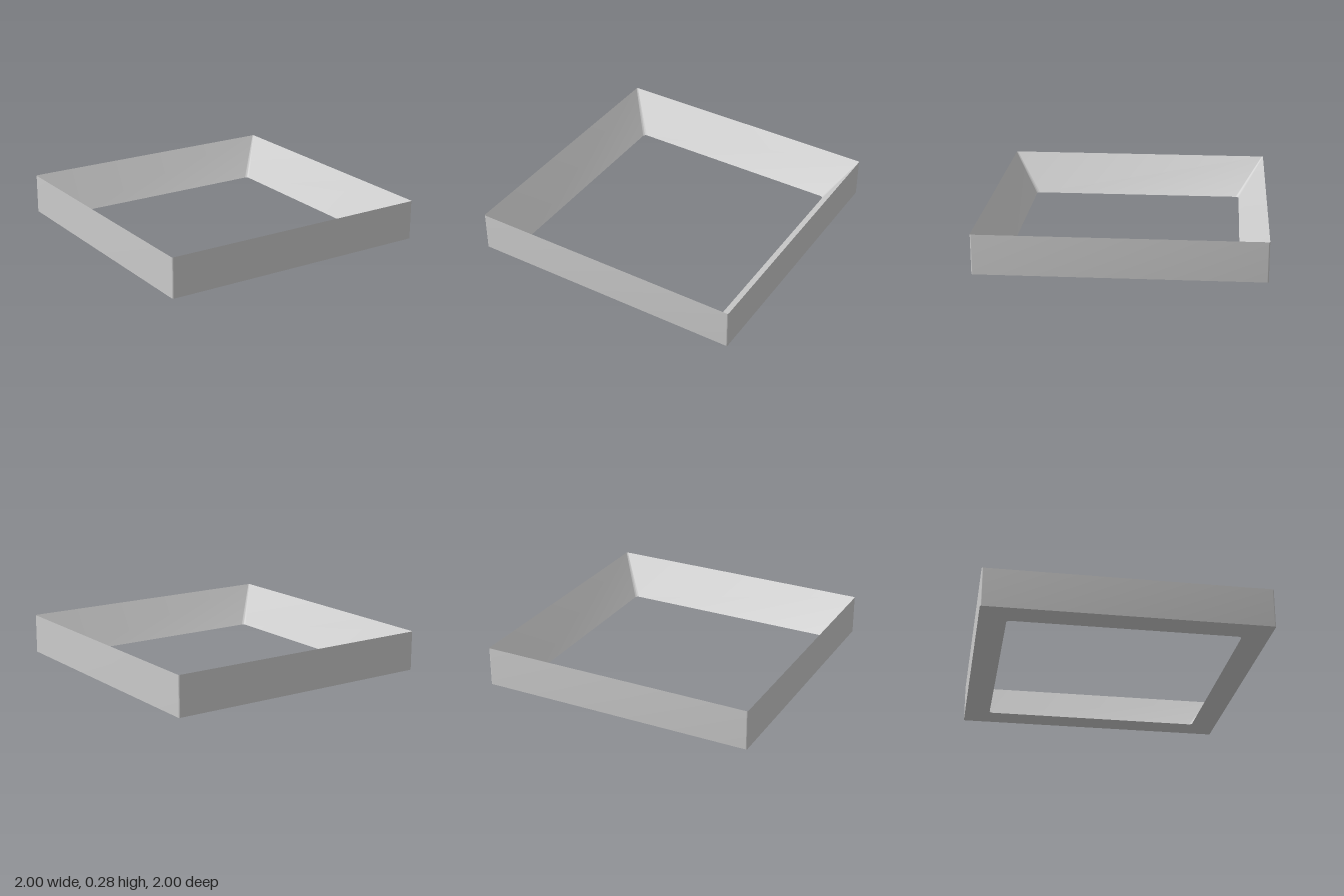
import * as THREE from 'three';
import { toCreasedNormals } from 'three/addons/utils/BufferGeometryUtils.js';

const OUTER = 1, INNER = 0.81, HEIGHT = 0.285;
const STEPS = 5; // segments per rounded corner

// Square outline with rounded corners, as [x, z] points
function roundedSquare(half, radius) {
  const points = [];
  for (let corner = 0; corner < 4; corner++) {
    const start = corner * Math.PI / 2;
    const mid = start + Math.PI / 4;
    const reach = (half - radius) * Math.SQRT2;
    for (let i = 0; i <= STEPS; i++) {
      const a = start + (i / STEPS) * Math.PI / 2;
      points.push([
        Math.cos(mid) * reach + Math.cos(a) * radius,
        Math.sin(mid) * reach + Math.sin(a) * radius,
      ]);
    }
  }
  return points;
}

// Closed band joining a loop of outlines, each at its own height
function loftLoops(loops) {
  const count = loops[0].points.length;
  const positions = [];
  const indices = [];
  for (const { points, y } of loops) {
    for (const [x, z] of points) positions.push(x, y, z);
  }
  for (let l = 0; l < loops.length; l++) {
    const next = (l + 1) % loops.length;
    for (let i = 0; i < count; i++) {
      const j = (i + 1) % count;
      const a = l * count + i, b = l * count + j;
      const c = next * count + j, d = next * count + i;
      indices.push(a, b, c, a, c, d);
    }
  }
  const geometry = new THREE.BufferGeometry();
  geometry.setAttribute('position', new THREE.Float32BufferAttribute(positions, 3));
  geometry.setIndex(indices);
  return toCreasedNormals(geometry, 0.6);
}

export function createModel() {
  const model = new THREE.Group();
  model.name = 'squareFrame';

  const outerEdge = roundedSquare(OUTER, 0.01);
  const innerEdge = roundedSquare(INNER, 0.025);

  // Upright outer wall, flat underside and inner face sloping down to the opening
  const frame = new THREE.Mesh(
    loftLoops([
      { points: outerEdge, y: HEIGHT },
      { points: outerEdge, y: 0 },
      { points: innerEdge, y: 0 },
    ]),
    new THREE.MeshStandardMaterial({ color: 0xcccccc }),
  );
  frame.name = 'bevelledFrame';
  model.add(frame);

  return model;
}
